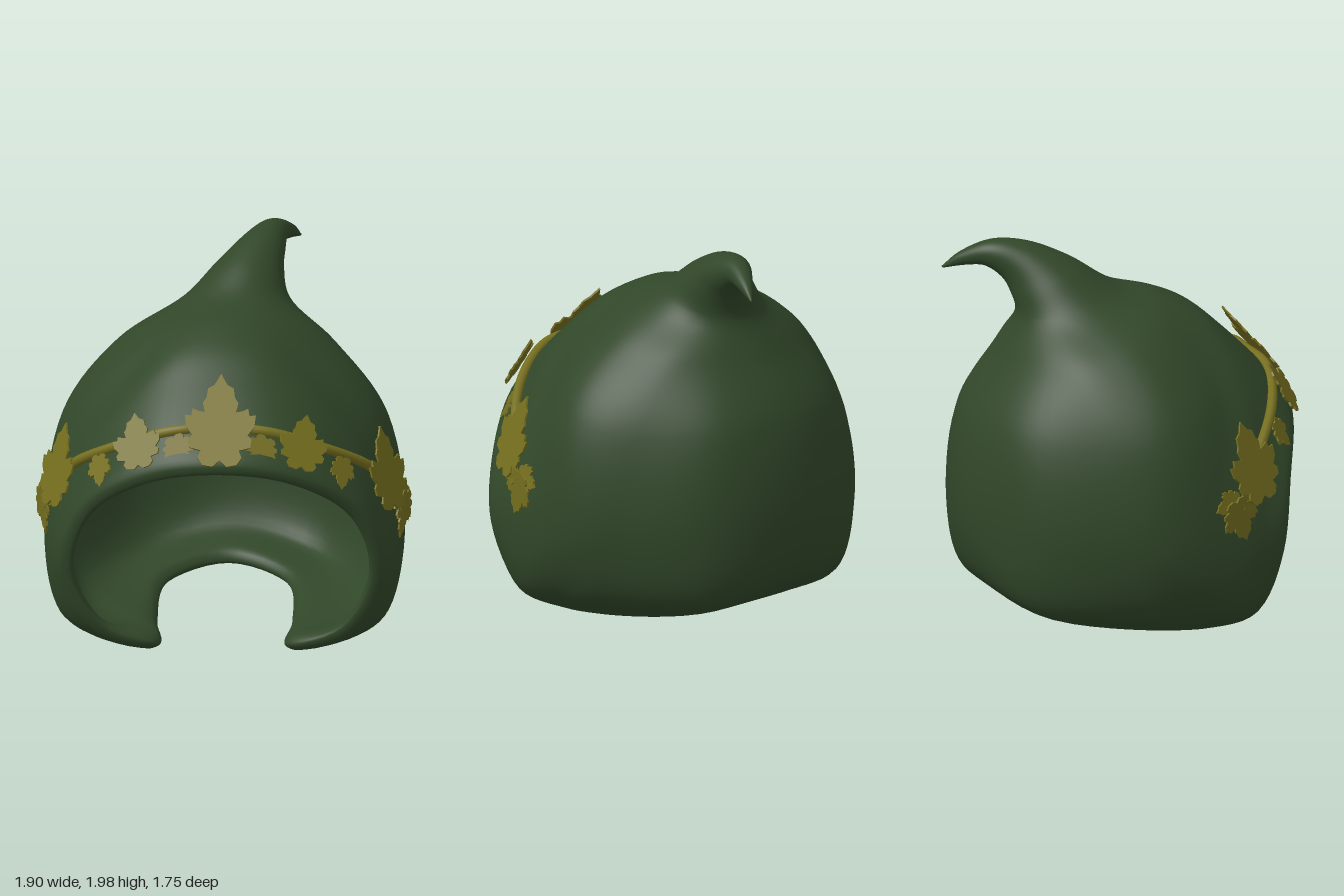
import * as THREE from 'three';

const V = (x, y, z) => new THREE.Vector3(x, y, z);

// Half loops of the hood, front centre -> left side -> back centre
const edge = [[0, 1.135, .81], [.38, 1.065, .75], [.68, .84, .61], [.78, .5, .53], [.63, .18, .47],
  [.36, .06, .37], [.38, .065, .05], [.33, .15, -.38], [0, .2, -.58]];
const brow = [[0, 1.3, .71], [.36, 1.24, .68], [.7, .97, .52], [.87, .56, .42], [.82, .2, .34],
  [.74, .14, .13], [.74, .19, -.12], [.46, .22, -.64], [0, .3, -.78]];
const middle = [[0, 1.49, .52], [.33, 1.42, .51], [.64, 1.18, .42], [.86, .82, .26], [.91, .55, .12],
  [.89, .5, -.07], [.82, .55, -.28], [.52, .6, -.71], [0, .65, -.87]];
const upper = [[0, 1.61, .38], [.25, 1.575, .36], [.49, 1.43, .28], [.72, 1.26, .15], [.81, 1.17, 0],
  [.81, 1.12, -.15], [.7, 1.1, -.38], [.42, 1.12, -.7], [0, 1.13, -.8]];
const crown = [[0, 1.7, .2], [.16, 1.68, .18], [.34, 1.62, .11], [.47, 1.56, 0], [.54, 1.51, -.1],
  [.54, 1.48, -.22], [.47, 1.45, -.4], [.28, 1.45, -.55], [0, 1.44, -.62]];

// Rings of the curled tip: centre x, y, z, radius, tilt, yaw
const tipRings = [
  [.05, 1.69, -.27, .265, .25, 0],
  [.11, 1.81, -.385, .175, .5, .1],
  [.18, 1.89, -.5, .112, .9, .35],
  [.235, 1.922, -.62, .07, 1.35, .5],
  [.3, 1.885, -.73, .038, 2.1, .55],
  [.352, 1.835, -.82, .006, 2.3, .55],
];

// Complete a half loop with its mirror image
function mirrored(half) {
  const left = half.map(p => V(...p));
  const right = half.slice(1, -1).reverse().map(([x, y, z]) => V(-x, y, z));
  return [...left, ...right];
}

function ring([x, y, z, r, tilt, yaw]) {
  const side = V(Math.cos(yaw), 0, Math.sin(yaw));
  const front = V(-Math.sin(yaw) * Math.cos(tilt), Math.sin(tilt), Math.cos(yaw) * Math.cos(tilt));
  return Array.from({ length: 16 }, (_, k) => {
    const a = k * Math.PI / 8;
    return V(x, y, z).addScaledVector(front, r * Math.cos(a)).addScaledVector(side, r * Math.sin(a));
  });
}

// Rounded lip: inner, foremost and outer loops around the edge loop
function lip(edgeLoop, next, r) {
  const out = [[], [], []];
  edgeLoop.forEach((p, k) => {
    const along = edgeLoop[(k + 1) % 16].clone().sub(edgeLoop[(k + 15) % 16]).normalize();
    const back = next[k].clone().sub(p);
    back.addScaledVector(along, -back.dot(along)).normalize();
    const outward = along.clone().cross(back);
    out[0].push(p.clone().addScaledVector(outward, -r));
    out[1].push(p.clone().addScaledVector(back, -r));
    out[2].push(p.clone().addScaledVector(outward, r));
  });
  return out;
}

// Smooth skin through a stack of closed loops
function skin(loops, rows, cols) {
  const columns = loops[0].map((_, k) => new THREE.CatmullRomCurve3(loops.map(l => l[k])));
  const pos = [], index = [];
  for (let i = 0; i <= rows; i++) {
    const loop = new THREE.CatmullRomCurve3(columns.map(c => c.getPoint(i / rows)), true);
    for (let j = 0; j < cols; j++) {
      pos.push(...loop.getPoint(j / cols).toArray());
      if (i === rows) continue;
      const a = i * cols + j, b = i * cols + (j + 1) % cols;
      index.push(a, b, a + cols, b, b + cols, a + cols);
    }
  }
  const g = new THREE.BufferGeometry();
  g.setAttribute('position', new THREE.Float32BufferAttribute(pos, 3));
  g.setIndex(index);
  g.computeVertexNormals();
  return g;
}

// Lobed leaf of unit height, centred on its own middle
function leafGeometry() {
  const half = [[.1, -.02], [.24, 0], [.31, .08], [.27, .16], [.43, .19], [.45, .28], [.39, .33],
    [.48, .42], [.5, .55], [.41, .54], [.39, .62], [.3, .59], [.22, .58], [.25, .68], [.2, .74],
    [.18, .84], [.09, .88]];
  const pts = [[0, .05], ...half, [0, 1], ...half.slice().reverse().map(([x, y]) => [-x, y])];
  const shape = new THREE.Shape(pts.map(([x, y]) => new THREE.Vector2(x, y - .5)));
  return new THREE.ExtrudeGeometry(shape, { depth: .01, bevelEnabled: false });
}

export function createModel() {
  const model = new THREE.Group();
  const green = new THREE.MeshStandardMaterial({ color: 0x314729, side: THREE.DoubleSide });
  green.name = 'moss green cloth';
  const gold = new THREE.MeshStandardMaterial({ color: 0x766f1f });
  gold.name = 'olive gold';

  const add = (name, geometry, material, parent = model) => {
    const m = new THREE.Mesh(geometry, material);
    m.name = name;
    parent.add(m);
    return m;
  };

  // Hood as one thick skin: lining from crown to lip, then outer cloth up to the curled tip
  const outer = [brow, middle, upper, crown].map(mirrored);
  const centre = V(0, .72, -.05);
  const lining = outer.map(l => l.map(p => p.clone().sub(centre).multiplyScalar(.94).add(centre))).reverse();
  const loops = [ring([.02, 1.67, -.2, .01, .25, 0]), ...lining,
    ...lip(mirrored(edge), outer[0], .04), ...outer, ...tipRings.map(ring)];
  add('hood', skin(loops, 136, 96), green);

  // Garland vine across the brow
  const garland = new THREE.Group();
  garland.name = 'garland';
  model.add(garland);
  const vineHalf = [[.25, 1.29, .705], [.5, 1.19, .625], [.7, 1.07, .49], [.81, .96, .37]];
  const vine = new THREE.CatmullRomCurve3([
    ...vineHalf.slice().reverse().map(([x, y, z]) => V(-x, y, z)), V(0, 1.31, .7),
    ...vineHalf.map(p => V(...p))]);
  add('vine', new THREE.TubeGeometry(vine, 64, .026, 8), gold, garland);

  // Leaves: name, centre, facing, width, height, roll
  const shape = leafGeometry();
  const leaf = (name, [x, y, z], [nx, ny, nz], width, height, roll, s) => {
    const m = add(name, shape, gold, garland);
    const n = V(nx * s, ny, nz).normalize();
    const across = V(0, 1, 0).cross(n).normalize();
    m.quaternion.setFromRotationMatrix(new THREE.Matrix4().makeBasis(across, n.clone().cross(across), n));
    m.rotateZ(roll * s);
    m.position.set(x * s, y, z);
    m.scale.set(width, height, 1);
  };
  leaf('browLeaf', [0, 1.355, .715], [0, .62, .78], .36, .49, 0, 1);
  const sideLeaves = [
    ['templeLeaf', [.42, 1.24, .71], [.4, .5, .77], .26, .29, -.35],
    ['smallBrowLeaf', [.2, 1.2, .775], [.2, .45, .87], .17, .18, 2.6],
    ['smallTempleLeaf', [.61, 1.045, .625], [.65, .4, .65], .15, .17, 2.7],
    ['cheekLeaf', [.825, 1.0, .37], [.88, .28, .42], .34, .42, -.15],
    ['cheekBud', [.885, .81, .34], [.92, .1, .35], .12, .14, 1.9],
    ['upperDropLeaf', [.915, .81, .2], [.96, .15, .2], .15, .16, -1.9],
    ['lowerDropLeaf', [.905, .72, .275], [.95, -.05, .3], .22, .24, 2.8],
  ];
  for (const s of [1, -1]) {
    for (const [name, ...spec] of sideLeaves) leaf((s > 0 ? 'left ' : 'right ') + name, ...spec, s);
  }
  return model;
}
